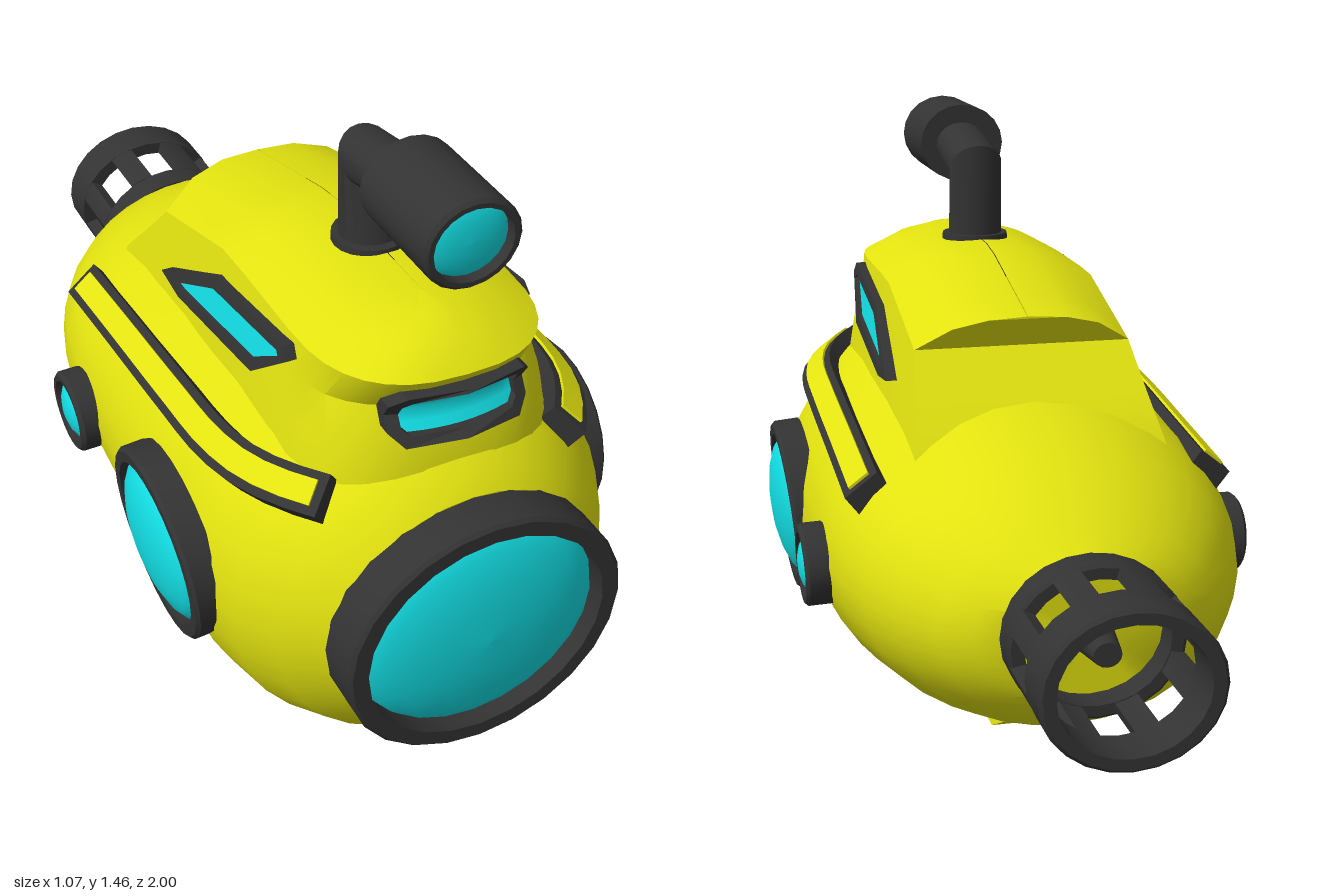
import * as THREE from 'three';
import { toCreasedNormals } from 'three/addons/utils/BufferGeometryUtils.js';

const mat = (color) => new THREE.MeshStandardMaterial({ color, side: THREE.DoubleSide });
const V = (x, y, z) => new THREE.Vector3(x, y, z);

// Skin closed rings of points; rings run counter-clockwise about the direction of progress
function loft(rings, cap = true, crease = 0.6) {
  const n = rings[0].length, pos = [], idx = [];
  rings.forEach((r) => r.forEach((p) => pos.push(p.x, p.y, p.z)));
  for (let i = 0; i < rings.length - 1; i++) {
    for (let j = 0; j < n; j++) {
      const a = i * n + j, b = i * n + (j + 1) % n;
      idx.push(a, b, b + n, a, b + n, a + n);
    }
  }
  if (cap) {
    [0, rings.length - 1].forEach((i) => {
      const c = rings[i].reduce((s, p) => s.add(p), V(0, 0, 0)).divideScalar(n);
      const k = pos.push(c.x, c.y, c.z) / 3 - 1;
      for (let j = 0; j < n; j++) {
        const a = i * n + j, b = i * n + (j + 1) % n;
        idx.push(k, ...(i ? [a, b] : [b, a]));
      }
    });
  }
  const g = new THREE.BufferGeometry();
  g.setAttribute('position', new THREE.Float32BufferAttribute(pos, 3));
  g.setIndex(idx);
  return toCreasedNormals(g, crease);
}

// Copy a geometry across x = 0, keeping its faces outward
function mirrored(geo) {
  const src = geo.index ? geo.toNonIndexed() : geo.clone();
  const p = src.attributes.position, pos = [];
  for (let i = 0; i < p.count; i += 3) {
    for (const k of [i, i + 2, i + 1]) pos.push(-p.getX(k), p.getY(k), p.getZ(k));
  }
  const g = new THREE.BufferGeometry();
  g.setAttribute('position', new THREE.Float32BufferAttribute(pos, 3));
  return toCreasedNormals(g, 0.6);
}

// Flat-faced ring and shallow dome, both along +y
const P = (list) => list.map(([x, y]) => new THREE.Vector2(x, y));
const ring = (r, ri, y0, y1, seg = 24) => toCreasedNormals(new THREE.LatheGeometry(
  P([[ri, y0], [r, y0], [r, y1 - 0.008], [r - 0.008, y1], [ri, y1], [ri, y0]]), seg), 0.6);
const dome = (r, y0, y1, seg = 24) => new THREE.LatheGeometry(
  P([0, 1, 2, 3, 4, 5].map((i) => {
    const a = i * Math.PI / 10;
    return [Math.max(r * Math.cos(a), 1e-4), y0 + (y1 - y0) * Math.sin(a)];
  })), seg);

// Move every vertex by a rule
function bend(geo, rule) {
  const p = geo.attributes.position, v = V(0, 0, 0);
  for (let i = 0; i < p.count; i++) {
    rule(v.fromBufferAttribute(p, i));
    p.setXYZ(i, v.x, v.y, v.z);
  }
  geo.computeVertexNormals();
  return geo;
}

const extrude = (shape, depth) => new THREE.ExtrudeGeometry(shape, { depth, bevelEnabled: false, curveSegments: 8 });

export function createModel() {
  const model = new THREE.Group();
  const yellow = mat(0xe2e210), dark = mat(0x333333), cyan = mat(0x12dfe5);
  const add = (name, geo, material) => {
    const m = new THREE.Mesh(geo, material);
    m.name = name;
    model.add(m);
    return m;
  };
  const addPair = (name, geo, material) => {
    add(name + 'Left', geo, material);
    add(name + 'Right', mirrored(geo), material);
  };

  // Hull: z, half width, bottom, top
  const hull = [[-0.68, 0.185, 0.355, 0.67], [-0.65, 0.24, 0.32, 0.69], [-0.6, 0.3, 0.28, 0.725],
    [-0.5, 0.37, 0.23, 0.785], [-0.4, 0.42, 0.2, 0.825], [-0.28, 0.455, 0.18, 0.86], [-0.15, 0.475, 0.155, 0.885],
    [0.1, 0.482, 0.11, 0.92], [0.4, 0.482, 0.06, 0.945], [0.58, 0.472, 0.04, 0.945], [0.7, 0.44, 0.055, 0.93],
    [0.8, 0.385, 0.11, 0.89], [0.86, 0.335, 0.18, 0.845], [0.89, 0.305, 0.22, 0.81]];
  add('hull', loft(hull.map(([z, w, b, t]) => Array.from({ length: 32 }, (_, j) => {
    const a = j * Math.PI / 16;
    return V(w * Math.cos(a), (b + t) / 2 + (t - b) / 2 * Math.sin(a), z);
  }))), yellow);

  // Cabin: half width, front z, back z, front y, back y of each U-shaped level
  const levels = [[0.3, 0.84, -0.31, 0.8, 0.72], [0.282, 0.825, -0.27, 0.92, 0.8], [0.266, 0.79, -0.18, 1.0, 0.89],
    [0.25, 0.84, -0.09, 1.08, 0.985], [0.17, 0.79, -0.125, 1.125, 1.035], [0.09, 0.73, -0.14, 1.147, 1.055],
    [0.001, 0.65, -0.14, 1.155, 1.06]];
  add('cabin', loft(levels.map(([w, zf, zb, yf, yb]) => {
    const a = 0.28, pts = [], right = [];
    for (let i = 0; i < 6; i++) right.push([w, zb + (zf - a - zb) * i / 6]);
    right.forEach(([x, z]) => pts.push([-x, z]));
    for (let i = 0; i <= 16; i++) {
      const t = Math.PI * i / 16, c = -Math.cos(t);
      pts.push([w * Math.sign(c) * Math.abs(c) ** 0.77, zf - a + a * Math.max(Math.sin(t), 0) ** 0.77]);
    }
    right.reverse().forEach((p) => pts.push(p));
    return pts.map(([x, z]) => V(x, yf + (yb - yf) * THREE.MathUtils.clamp((0.25 - z) / (0.25 - zb), 0, 1), z));
  }), false, 0.45), yellow);

  // Cabin side windows, leaning with the wall
  const pane = [[-0.61, 1.04], [-0.59, 1.065], [-0.25, 1.022], [0, 0.895], [-0.1, 0.885], [-0.475, 0.932]];
  const inner = [[-0.575, 1.03], [-0.565, 1.04], [-0.26, 1.0], [-0.075, 0.908], [-0.11, 0.908], [-0.46, 0.955]];
  const lean = new THREE.Matrix4().makeBasis(V(0, 0, -1), V(-0.16, 1, 0), V(1, 0, 0));
  const frame = new THREE.Shape(P(pane));
  frame.holes.push(new THREE.Path(P(inner)));
  const onWall = (g, x) => g.applyMatrix4(lean).translate(x + 0.16, 0, 0);
  addPair('sideWindowFrame', onWall(extrude(frame, 0.05), 0.235), dark);
  addPair('sideWindowGlass', onWall(extrude(new THREE.Shape(P(inner)), 0.03), 0.245), cyan);

  // Cabin front window, following the hollow of the cabin front
  const face = (v) => { v.z += 0.79 + Math.abs(v.y - 0.995) * 0.62 - 1.3 * v.x * v.x; };
  const oct = (w, h, c) => P([[w, h - c], [w - c, h], [0, h], [c - w, h], [-w, h - c], [-w, 0],
    [-w, c - h], [c - w, -h], [0, -h], [w - c, -h], [w, c - h], [w, 0]]).map((p) => p.setY(p.y + 0.995));
  const visor = new THREE.Shape(oct(0.155, 0.06, 0.028));
  visor.holes.push(new THREE.Path(oct(0.128, 0.04, 0.015)));
  add('frontWindowFrame', toCreasedNormals(bend(extrude(visor, 0.055).translate(0, 0, -0.025), face), 0.5), dark);
  add('frontWindowGlass', bend(new THREE.PlaneGeometry(0.27, 0.09, 10, 4).translate(0, 0.995, 0.012), face), cyan);

  // Large front porthole
  const toFront = (g) => g.rotateX(Math.PI / 2).scale(1, 0.93, 1).translate(0, 0.515, 0);
  add('frontPortholeRing', toFront(ring(0.316, 0.272, 0.88, 0.985)), dark);
  add('frontPortholeGlass', toFront(dome(0.275, 0.93, 1.0)), cyan);

  // Side portholes: radius, inner radius, bulge, z, y, tilt
  [[0.235, 0.2, 0.08, 0.41, 0.49, 0.095, 'largePorthole'], [0.105, 0.083, 0.055, -0.09, 0.5, 0.04, 'smallPorthole']]
    .forEach(([r, ri, h, z, y, tilt, name]) => {
      const toSide = (g) => g.rotateZ(-Math.PI / 2).scale(1, 0.9, 1).rotateZ(-tilt).translate(0.452 + (r < 0.2 ? 0.02 : 0), y, z);
      addPair(name + 'Ring', toSide(ring(r, ri, -0.02, 0.048)), dark);
      addPair(name + 'Glass', toSide(dome(ri + 0.003, 0.01, h)), cyan);
    });

  // Raised strips along the shoulders
  const path = new THREE.CatmullRomCurve3([V(0.395, 0.722, -0.275), V(0.395, 0.752, 0), V(0.395, 0.783, 0.3),
    V(0.388, 0.797, 0.5), V(0.365, 0.808, 0.62), V(0.325, 0.818, 0.71), V(0.275, 0.826, 0.785)]);
  const strip = (w, h, t0, t1) => loft(Array.from({ length: 17 }, (_, i) => {
    const t = t0 + (t1 - t0) * i / 16, c = path.getPointAt(t), tan = path.getTangentAt(t);
    const n = V(tan.z * 0.62, 0.78, -tan.x * 0.62).normalize();
    const s = n.clone().cross(tan).normalize();
    return [[-w, -0.06], [w, -0.06], [w, h], [-w, h]].map(([a, b]) => c.clone().addScaledVector(s, a).addScaledVector(n, b));
  }));
  addPair('stripEdge', strip(0.045, 0.016, 0, 1), dark);
  addPair('stripFill', strip(0.027, 0.022, 0.018, 0.982), yellow);

  // Keel, widening upward
  const keel = extrude(new THREE.Shape(P([[-0.46, 0], [0, 0.012], [0.13, 0.08], [0.07, 0.2], [0, 0.2], [-0.46, 0.1]])), 2)
    .translate(0, 0, -1);
  bend(keel, (v) => {
    const floor = v.x > 0.1 ? 0.08 : 0;
    v.set(Math.sign(v.z) * (0.045 + 0.8 * (v.y - floor)), v.y, -v.x);
  });
  add('keel', keel, yellow);

  // Tail shroud: two bands joined by eight bars, with a hub inside
  const tail = new THREE.Group();
  tail.name = 'tailShroud';
  tail.position.y = 0.515;
  tail.scale.y = 0.88;
  const tailPart = (name, g) => {
    const m = new THREE.Mesh(g, dark);
    m.name = name;
    tail.add(m);
  };
  tailPart('frontBand', ring(0.19, 0.155, 0.67, 0.745).rotateX(-Math.PI / 2));
  tailPart('rearBand', ring(0.19, 0.155, 0.89, 1.0).rotateX(-Math.PI / 2));
  for (let k = 0; k < 8; k++) {
    const mid = (k + 0.5) * Math.PI / 4, half = 0.165, bar = new THREE.Shape();
    bar.absarc(0, 0, 0.188, mid - half, mid + half, false);
    bar.absarc(0, 0, 0.157, mid + half, mid - half, true);
    tailPart('bar', extrude(bar, 0.16).translate(0, 0, -0.9));
  }
  tailPart('hub', new THREE.CylinderGeometry(0.05, 0.03, 0.14, 16).rotateX(Math.PI / 2).translate(0, 0, -0.74));
  model.add(tail);

  // Periscope: mitred pipe, foot and viewing head
  const pipe = [[V(0, 1.13, 0.42), V(0, 0, -0.068)], [V(0, 1.33, 0.405), V(0, 0.052, -0.045)], [V(0, 1.365, 0.59), V(0, 0.055, 0)]];
  add('periscopePipe', loft(pipe.map(([c, b]) => Array.from({ length: 20 }, (_, j) => {
    const a = j * Math.PI / 10;
    return c.clone().addScaledVector(b, Math.sin(a)).add(V(0.065 * Math.cos(a), 0, 0));
  }))), dark);
  add('periscopeFoot', new THREE.CylinderGeometry(0.08, 0.083, 0.03, 20).translate(0, 1.148, 0.42), dark);
  const head = (g) => g.rotateX(Math.PI / 2).scale(1, 0.92, 1).translate(0, 1.365, 0);
  add('periscopeHead', head(ring(0.105, 0.086, 0.57, 0.83, 20)), dark);
  add('periscopeBack', head(new THREE.CylinderGeometry(0.1, 0.1, 0.02, 20).translate(0, 0.582, 0)), dark);
  add('periscopeGlass', head(dome(0.088, 0.8, 0.822, 20)), cyan);

  return model;
}
